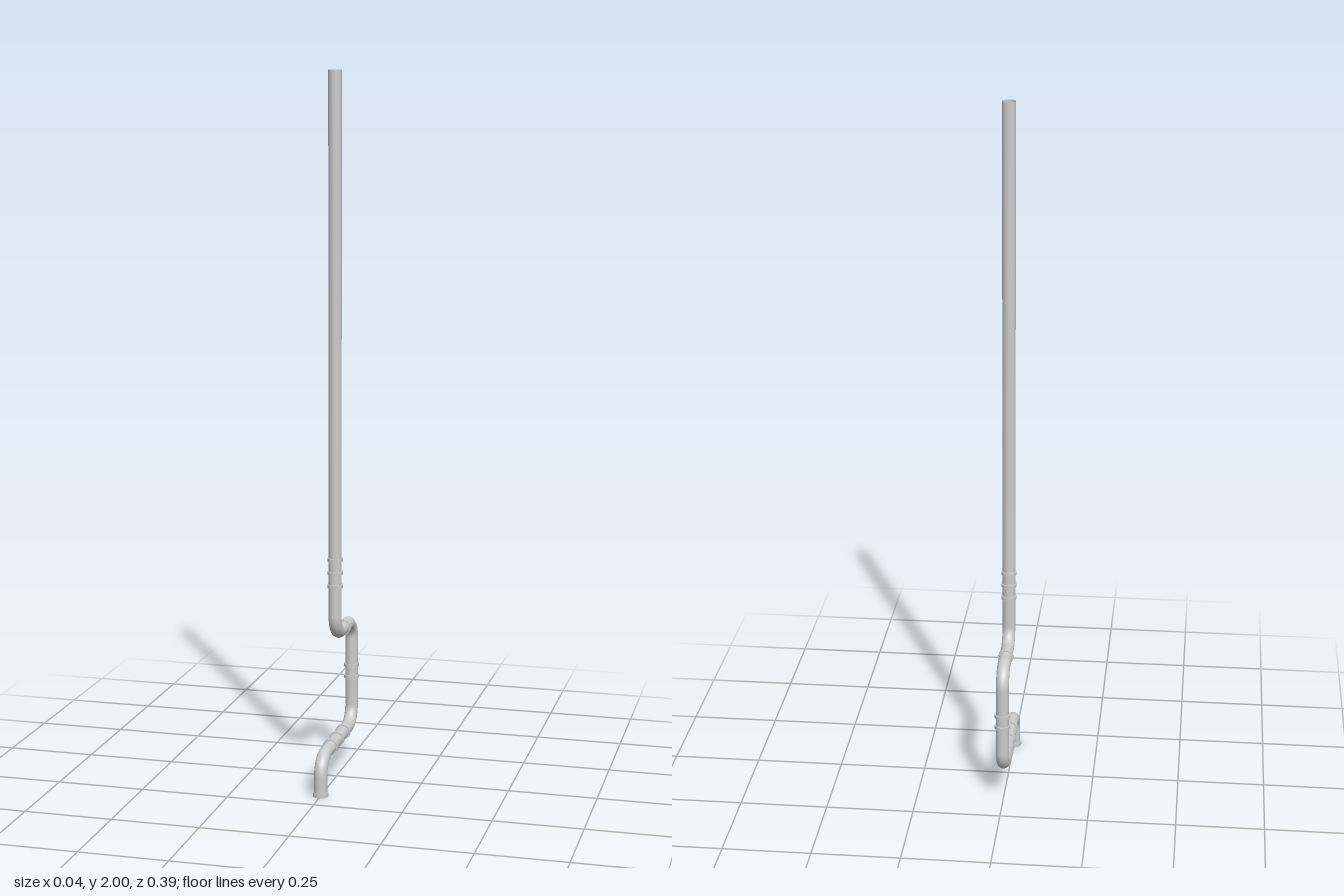
import * as THREE from 'three';

const PIPE_R = 0.0185, COLLAR_R = 0.022, BEND_R = 0.055, SIDES = 32;
const material = new THREE.MeshStandardMaterial({ color: 0xcccccc, side: THREE.DoubleSide });

// Centre line corners of the pipe, from the foot to the open top
const FOOT_Z = 0.175, BACK_Z = -0.175, RISER_Z = 0.016, LOW_Y = 0.11, HIGH_Y = 0.42;
const path = [
  [0, FOOT_Z], [LOW_Y, FOOT_Z], [LOW_Y, BACK_Z],
  [HIGH_Y, BACK_Z], [HIGH_Y, RISER_Z], [2, RISER_Z],
].map(([y, z]) => new THREE.Vector3(0, y, z));
const runNames = ['footPipe', 'lowerPipe', 'backPipe', 'upperPipe', 'riserPipe'];

export function createModel() {
  const group = new THREE.Group();

  const add = (name, geometry) => {
    const mesh = new THREE.Mesh(geometry, material);
    mesh.name = name;
    group.add(mesh);
    return mesh;
  };

  // Point at the bend distance from a corner, towards another corner
  const towards = (from, to, d) => from.clone().add(to.clone().sub(from).setLength(d));

  // Straight runs, shortened where they meet an elbow
  runNames.forEach((name, i) => {
    const a = path[i], b = path[i + 1];
    const start = i === 0 ? a : towards(a, b, BEND_R);
    const end = i === runNames.length - 1 ? b : towards(b, a, BEND_R);
    add(name, new THREE.TubeGeometry(new THREE.LineCurve3(start, end), 1, PIPE_R, SIDES));
  });

  // Quarter-circle elbows
  for (let i = 1; i < path.length - 1; i++) {
    const [before, corner, after] = path.slice(i - 1, i + 2);
    const k = BEND_R * (1 - 0.5523);
    const arc = new THREE.CubicBezierCurve3(
      towards(corner, before, BEND_R), towards(corner, before, k),
      towards(corner, after, k), towards(corner, after, BEND_R));
    add('elbow' + i, new THREE.TubeGeometry(arc, 16, PIPE_R, SIDES));
  }

  // Raised collar rings around the joints
  const ring = (name, y, z, width, alongZ) => {
    const h = width / 2, inner = PIPE_R - 0.001;
    const band = new THREE.CylinderGeometry(COLLAR_R, COLLAR_R, width, SIDES, 1, true);
    const mesh = add(name, band);
    // Flat faces closing the band down to the pipe
    for (const side of [-1, 1]) {
      const face = new THREE.Mesh(new THREE.RingGeometry(inner, COLLAR_R, SIDES), material);
      face.name = name + 'Face';
      face.rotation.x = -side * Math.PI / 2;
      face.position.y = side * h;
      mesh.add(face);
    }
    mesh.position.set(0, y, z);
    if (alongZ) mesh.rotation.x = Math.PI / 2;
  };
  ring('footFlange', 0.006, FOOT_Z, 0.012, false);
  for (const z of [0.069, -0.001, -0.071]) ring('lowerCollar', LOW_Y, z, 0.01, true);
  for (const y of [0.248, 0.283]) ring('backCollar', y, BACK_Z, 0.01, false);
  ring('upperCollar', HIGH_Y, -0.079, 0.01, true);
  for (const y of [0.565, 0.603, 0.641]) ring('riserCollar', y, RISER_Z, 0.01, false);

  return group;
}
